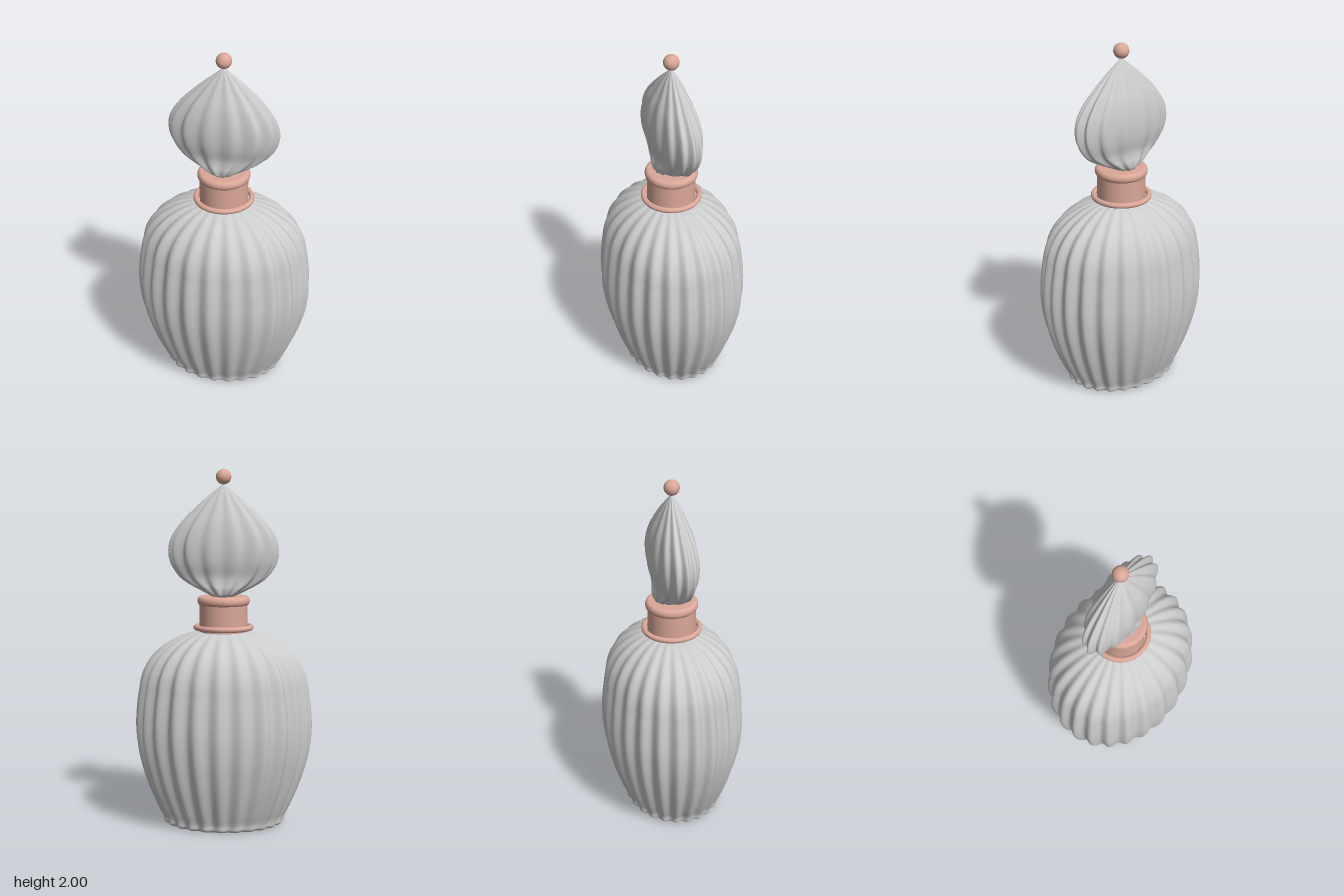
import * as THREE from 'three';

// Elliptical fluted shell from stations [y, half width in x, half depth in z], bottom to top, with a flat base.
function flutedShell(stations, flutes, depth, around, rows) {
  const curve = new THREE.CatmullRomCurve3(
    stations.map(([y, rx, rz]) => new THREE.Vector3(rx, y, rz)), false, 'centripetal');
  const pos = [], index = [], p = new THREE.Vector3();
  const ring = () => {
    for (let j = 0; j < around; j++) {
      const a = (j / around) * Math.PI * 2;
      const k = 1 - depth * (0.5 - 0.5 * Math.cos(flutes * a));
      pos.push(p.x * k * Math.cos(a), p.y, p.z * k * Math.sin(a));
    }
  };
  for (let i = 0; i <= rows; i++) {
    curve.getPoint(i / rows, p);
    ring();
  }
  for (let i = 0; i < rows; i++) {
    for (let j = 0; j < around; j++) {
      const a = i * around + j, b = i * around + (j + 1) % around;
      index.push(a, a + around, b, b, a + around, b + around);
    }
  }
  // base cap with its own vertices so the rim stays sharp
  curve.getPoint(0, p);
  const start = pos.length / 3;
  ring();
  pos.push(0, p.y, 0);
  for (let j = 0; j < around; j++) index.push(start + around, start + j, start + (j + 1) % around);
  const geo = new THREE.BufferGeometry();
  geo.setAttribute('position', new THREE.Float32BufferAttribute(pos, 3));
  geo.setIndex(index);
  geo.computeVertexNormals();
  return geo;
}

export function createModel() {
  const group = new THREE.Group();
  const glass = new THREE.MeshStandardMaterial({ color: 0xcccccc });
  glass.name = 'pale grey glass';
  const copper = new THREE.MeshStandardMaterial({ color: 0xdba898 });
  copper.name = 'rose copper';

  const add = (name, geometry, material, y = 0) => {
    const mesh = new THREE.Mesh(geometry, material);
    mesh.name = name;
    mesh.position.y = y;
    group.add(mesh);
    return mesh;
  };

  // bottle body: 24 flutes, depth is 0.8 of width
  const body = [
    [0, 0.325], [0.012, 0.342], [0.04, 0.348], [0.1, 0.378], [0.2, 0.422], [0.3, 0.457], [0.42, 0.487],
    [0.55, 0.5], [0.68, 0.493], [0.78, 0.478], [0.82, 0.471], [0.88, 0.452], [0.95, 0.41],
    [1.01, 0.348], [1.06, 0.265], [1.09, 0.18], [1.1, 0.12], [1.105, 0.05],
  ].map(([y, r]) => [y, r, r * 0.795]);
  add('body', flutedShell(body, 24, 0.055, 288, 80), glass);

  // neck, its lower flange and the rounded collar
  add('neck', new THREE.CylinderGeometry(0.135, 0.135, 0.16, 64), copper, 1.175);
  const flange = add('neckFlange', new THREE.TorusGeometry(0.155, 0.015, 16, 72), copper, 1.12);
  flange.rotation.x = Math.PI / 2;
  const collar = [[0, 1.243], [0.13, 1.243]];
  for (let i = 0; i <= 12; i++) {
    const a = -Math.PI / 2 + (i / 12) * Math.PI;
    collar.push([0.127 + 0.02 * Math.cos(a), 1.269 + 0.026 * Math.sin(a)]);
  }
  collar.push([0, 1.295]);
  add('collar', new THREE.LatheGeometry(collar.map(([x, y]) => new THREE.Vector2(x, y)), 64), copper);

  // flattened teardrop stopper: 14 flutes, small foot flaring front and back
  const stopper = [
    [1.293, 0.06, 0.085], [1.305, 0.085, 0.1], [1.34, 0.155, 0.108], [1.375, 0.215, 0.104],
    [1.41, 0.255, 0.104], [1.48, 0.298, 0.12], [1.55, 0.31, 0.126], [1.62, 0.295, 0.122],
    [1.7, 0.243, 0.106], [1.77, 0.176, 0.079], [1.83, 0.11, 0.052], [1.88, 0.049, 0.026], [1.918, 0.004, 0.003],
  ];
  add('stopper', flutedShell(stopper, 14, 0.085, 224, 64), glass);

  // ball finial
  add('finial', new THREE.SphereGeometry(0.043, 40, 28), copper, 1.957);

  return group;
}
